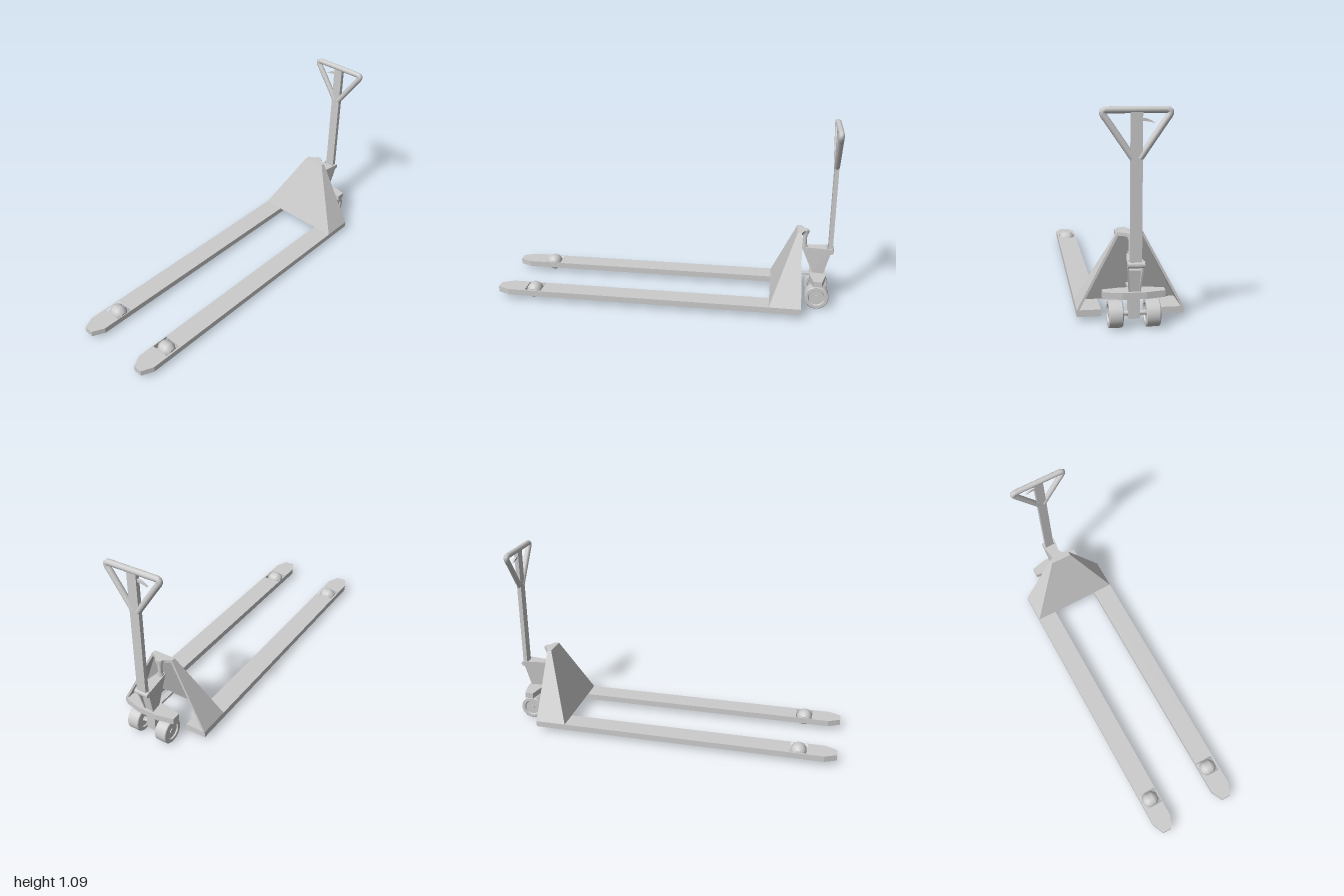
import * as THREE from 'three';
import { toCreasedNormals } from 'three/addons/utils/BufferGeometryUtils.js';
import { ConvexGeometry } from 'three/addons/geometries/ConvexGeometry.js';

const material = new THREE.MeshStandardMaterial({ color: 0xcccccc });

export function createModel() {
  const model = new THREE.Group();

  const add = (name, geometry, x = 0, y = 0, z = 0) => {
    const mesh = new THREE.Mesh(geometry, material);
    mesh.name = name;
    mesh.position.set(x, y, z);
    model.add(mesh);
    return mesh;
  };
  const box = (name, x0, x1, y0, y1, z0, z1) =>
    add(name, new THREE.BoxGeometry(x1 - x0, y1 - y0, z1 - z0), (x0 + x1) / 2, (y0 + y1) / 2, (z0 + z1) / 2);
  // Convex plate spanned by its corner points
  const hull = (name, points) =>
    add(name, new ConvexGeometry(points.map((p) => new THREE.Vector3(...p))));
  // Plate given by one face and the offset to the other
  const plate = (name, face, [dx, dy, dz]) =>
    hull(name, [...face, ...face.map(([x, y, z]) => [x + dx, y + dy, z + dz])]);
  // Turned part with its axis along z
  const turned = (profile, segments) => {
    const g = new THREE.LatheGeometry(profile.map(([r, h]) => new THREE.Vector2(r, h)), segments);
    return toCreasedNormals(g.rotateX(Math.PI / 2), 0.6);
  };
  // Flat outline in x and z, extruded downwards from its top
  const slab = (name, shape, top, depth) => {
    const g = new THREE.ExtrudeGeometry(shape, { depth, bevelEnabled: false, curveSegments: 8 });
    return add(name, g.rotateX(Math.PI / 2), 0, top, 0);
  };
  const outline = (points) => new THREE.Shape(points.map(([x, z]) => new THREE.Vector2(x, z)));

  const rollerProfile = [[0, -0.048], [0.02, -0.048], [0.034, -0.038], [0.045, -0.02],
    [0.045, 0.02], [0.034, 0.038], [0.02, 0.048], [0, 0.048]];
  const wheelProfile = [[0, -0.032], [0.014, -0.032], [0.014, -0.027], [0.044, -0.027], [0.048, -0.035],
    [0.066, -0.035], [0.07, -0.031], [0.07, 0.031], [0.066, 0.035], [0.048, 0.035],
    [0.044, 0.027], [0.014, 0.027], [0.014, 0.032], [0, 0.032]];

  for (const s of [-1, 1]) {
    // Fork with tapered tip and roller opening
    const shape = outline([[-1, s * 0.185], [-0.93, s * 0.15], [0.82, s * 0.15],
      [0.82, s * 0.272], [-0.93, s * 0.272], [-1, s * 0.24]]);
    shape.holes.push(new THREE.Path([[-0.83, 0.155], [-0.73, 0.155], [-0.73, 0.262], [-0.83, 0.262]]
      .map(([x, z]) => new THREE.Vector2(x, s * z))));
    slab('fork', shape, 0.065, 0.035);
    add('loadRoller', turned(rollerProfile, 20), -0.78, 0.049, s * 0.209);
    const pin = new THREE.CylinderGeometry(0.008, 0.008, 0.11, 10).rotateX(Math.PI / 2);
    add('rollerPin', pin, -0.78, 0.049, s * 0.209);

    // Sloping side of the mast housing
    plate('mastSide', [[0.635, 0.065, s * 0.272], [0.82, 0.065, s * 0.272],
      [0.805, 0.455, s * 0.065], [0.78, 0.455, s * 0.065]], [0, 0, -s * 0.014]);

    // Steering wheel
    add('steerWheel', turned(wheelProfile, 36), 0.91, 0.073, s * 0.092);

    // Side of the steering bracket
    plate('bracketSide', [[0.81, 0.35, s * 0.02], [0.985, 0.35, s * 0.045],
      [0.945, 0.19, s * 0.03], [0.88, 0.19, s * 0.022]], [0, 0, -s * 0.008]);
  }

  // Front sheet of the mast housing
  plate('mastFront', [[0.635, 0.065, -0.272], [0.635, 0.065, 0.272],
    [0.78, 0.455, 0.065], [0.78, 0.455, -0.065]], [0.012, 0, 0]);

  // Cap with rounded nose above the pump rod
  const cap = outline([[0.78, -0.065], [0.805, -0.065], [0.825, -0.024]]);
  cap.absarc(0.825, 0, 0.024, -Math.PI / 2, Math.PI / 2, false);
  cap.lineTo(0.805, 0.065);
  cap.lineTo(0.78, 0.065);
  slab('mastCap', cap, 0.455, 0.017);

  // Pump rod and collars
  const rod = (name, radius, y0, y1) => add(name,
    toCreasedNormals(new THREE.CylinderGeometry(radius, radius, y1 - y0, 20), 0.6), 0.826, (y0 + y1) / 2, 0);
  rod('pumpRod', 0.013, 0.34, 0.445);
  rod('rodCollar', 0.018, 0.425, 0.44);
  rod('rodBase', 0.018, 0.335, 0.36);

  // Steering bracket: back, top and inner column
  plate('bracketBack', [[0.81, 0.35, -0.02], [0.81, 0.35, 0.02],
    [0.88, 0.19, 0.022], [0.88, 0.19, -0.022]], [0.012, 0, 0]);
  plate('bracketTop', [[0.81, 0.35, -0.02], [0.81, 0.35, 0.02],
    [0.955, 0.35, 0.04], [0.955, 0.35, -0.04]], [0, -0.012, 0]);
  hull('bracketCore', [-1, 1].flatMap((s) => [[0.85, 0.3, s * 0.022], [0.955, 0.3, s * 0.03],
    [0.885, 0.18, s * 0.02], [0.94, 0.18, s * 0.022]]));
  box('steerColumn', 0.885, 0.935, 0.05, 0.19, -0.028, 0.028);

  // Cross plate over the wheels, axle and push link
  slab('crossPlate', outline([[0.865, -0.06], [0.885, -0.155], [0.935, -0.155], [0.957, -0.06],
    [0.957, 0.06], [0.935, 0.155], [0.885, 0.155], [0.865, 0.06]]), 0.19, 0.034);
  add('axle', new THREE.CylinderGeometry(0.012, 0.012, 0.19, 16).rotateX(Math.PI / 2), 0.91, 0.073, 0);
  box('pushLink', 0.75, 0.88, 0.168, 0.18, -0.015, 0.015);

  // Handle shaft and its hinge
  box('handleShaft', 0.965, 0.99, 0.325, 1.07, -0.028, 0.028);
  const hinge = new THREE.CylinderGeometry(0.016, 0.016, 0.084, 18).rotateX(Math.PI / 2);
  add('handleHinge', toCreasedNormals(hinge, 0.6), 0.982, 0.335, 0);

  // Triangular grip loop with rounded corners
  const v = (y, z) => new THREE.Vector3(0.977, y, z);
  const loop = new THREE.CurvePath();
  const corner = (s) => [v(1.03, s * 0.142), v(1.073, s * 0.178), v(1.073, s * 0.14)];
  const [a, b, c] = corner(1);
  const [d, e, f] = corner(-1);
  loop.add(new THREE.LineCurve3(v(0.845, 0.015), a));
  loop.add(new THREE.QuadraticBezierCurve3(a, b, c));
  loop.add(new THREE.LineCurve3(c, f));
  loop.add(new THREE.QuadraticBezierCurve3(f, e, d));
  loop.add(new THREE.LineCurve3(d, v(0.845, -0.015)));
  add('gripLoop', new THREE.TubeGeometry(loop, 90, 0.0165, 14, false));

  // Release lever under the grip
  const lever = new THREE.Shape();
  lever.moveTo(0.02, 1.036);
  lever.quadraticCurveTo(0.06, 1.036, 0.086, 1.01);
  lever.quadraticCurveTo(0.055, 1.022, 0.02, 1.02);
  const leverGeometry = new THREE.ExtrudeGeometry(lever, { depth: 0.012, bevelEnabled: false, curveSegments: 6 });
  add('releaseLever', leverGeometry.rotateY(Math.PI / 2), 0.971, 0, 0);

  return model;
}
